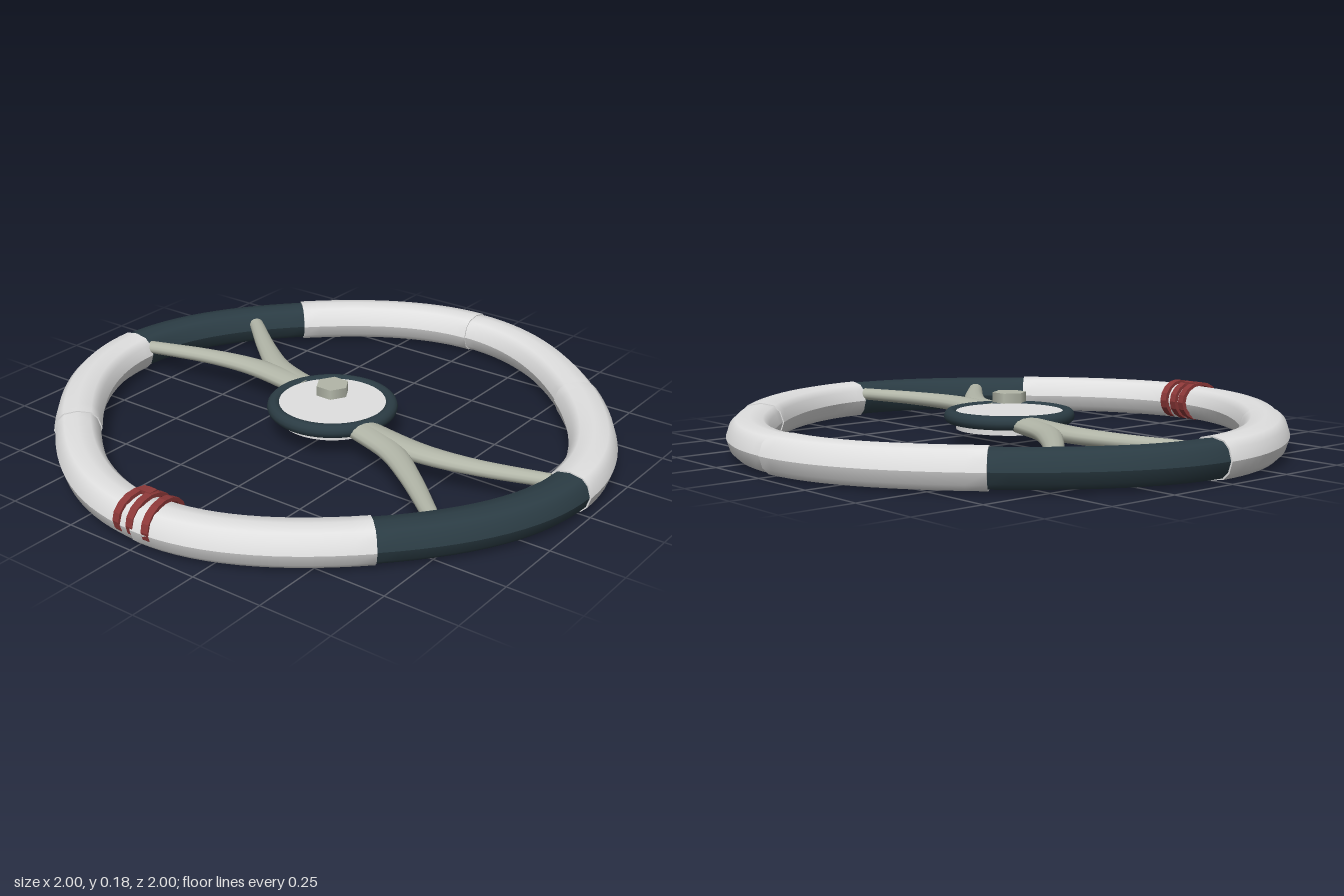
import * as THREE from 'three';

const mat = (name, color) => Object.assign(new THREE.MeshStandardMaterial({ color }), { name });

// Sweep a section made of counter-clockwise arcs along a level curve; arcs meet at hard edges.
function sweep(curve, steps, arcs, size) {
  const pos = [], idx = [];
  const place = (t, [u, v]) => {
    const p = curve.getPoint(t), d = curve.getTangent(t);
    const [w, h] = size(t);
    pos.push(p.x + d.z * u * w, p.y + v * h, p.z - d.x * u * w);
  };
  for (const arc of arcs) {
    const base = pos.length / 3, n = arc.length;
    for (let i = 0; i <= steps; i++) arc.forEach((q) => place(i / steps, q));
    for (let i = 0; i < steps; i++) {
      for (let j = 0; j < n - 1; j++) {
        const a = base + i * n + j, b = a + n;
        idx.push(a, a + 1, b, a + 1, b + 1, b);
      }
    }
  }
  // end caps
  const loop = arcs.flatMap((arc) => arc.slice(0, -1));
  for (const t of [0, 1]) {
    const base = pos.length / 3;
    loop.forEach((q) => place(t, q));
    for (let j = 1; j < loop.length - 1; j++) {
      idx.push(base, base + (t ? j : j + 1), base + (t ? j + 1 : j));
    }
  }
  const g = new THREE.BufferGeometry();
  g.setAttribute('position', new THREE.Float32BufferAttribute(pos, 3));
  g.setIndex(idx);
  g.computeVertexNormals();
  return g;
}

export function createModel() {
  const group = new THREE.Group();
  const white = mat('white', 0xe0e0e0);
  const dark = mat('dark slate', 0x2b3c44);
  const metal = mat('grey metal', 0xb2b6a8);
  const red = mat('dark red', 0x8c3838);
  const add = (name, geo, material, x = 0, y = 0, z = 0) => {
    const m = new THREE.Mesh(geo, material);
    m.name = name;
    m.position.set(x, y, z);
    group.add(m);
    return m;
  };

  // Rim: eight bent segments forming a rounded diamond
  const upper = [[0.078, 0], [0.066, 0.037], [0.045, 0.057], [0, 0.065],
    [-0.045, 0.057], [-0.066, 0.037], [-0.078, 0]];
  const lower = upper.map(([u, v]) => [-u, -v]);
  const rimY = 0.067;
  const polar = (r, deg) => {
    const a = THREE.MathUtils.degToRad(deg);
    return new THREE.Vector3(r * Math.cos(a), rimY, r * Math.sin(a));
  };
  const corner = (k) => polar(k % 2 ? 0.862 : 0.918, k * 45);
  const scales = [0.96, 1.02, 0.98, 1.035, 0.96, 1.035, 0.98, 1.03];
  scales.forEach((s, k) => {
    const bend = polar(0.966, k * 45 + (k % 2 ? 26.9 : 18.1));
    const curve = new THREE.QuadraticBezierCurve3(corner(k), bend, corner(k + 1));
    const isDark = k % 4 === 0;
    add(isDark ? 'darkRimGrip' : 'whiteRimSegment',
      sweep(curve, 14, [upper, lower], () => [s, s]), isDark ? dark : white);
  });

  // Hub: plate, surrounding ring and floating hexagonal nut
  add('hubPlate', new THREE.CylinderGeometry(0.183, 0.183, 0.06, 48), white, 0, 0.086, 0);
  const ring = new THREE.TorusGeometry(0.2, 0.024, 12, 48);
  ring.rotateX(Math.PI / 2);
  add('hubRing', ring, dark, 0, 0.1, 0);
  const nut = new THREE.CylinderGeometry(0.058, 0.058, 0.034, 6);
  nut.rotateY(Math.PI / 6);
  add('hubNut', nut, metal, 0, 0.163, 0);

  // Forked spokes: two tapered branches on each side
  const oval = Array.from({ length: 15 }, (_, i) => {
    const a = -Math.PI / 2 + (i / 14) * Math.PI * 2;
    return [Math.cos(a), Math.sin(a)];
  });
  const branches = [
    [[0.17, 0.075], [0.43, 0.103], [0.62, 0.08], [0.86, 0.013]],
    [[0.17, 0.075], [0.35, 0.15], [0.5, 0.26], [0.69, 0.425]],
  ];
  for (const side of [1, -1]) {
    for (const pts of branches) {
      const curve = new THREE.CatmullRomCurve3(
        pts.map(([x, z]) => new THREE.Vector3(x * side, 0.09, z * side)));
      add('spokeBranch', sweep(curve, 20, [oval],
        (t) => [0.055 - 0.029 * t, 0.03 - 0.008 * t]), metal);
    }
  }

  // Cord wrapped around the front of the rim
  const band = new THREE.Shape().absellipse(0, 0, 0.092, 0.072, 0, Math.PI * 2);
  band.holes.push(new THREE.Path().absellipse(0, 0, 0.076, 0.06, 0, Math.PI * 2, true));
  const bandGeo = new THREE.ExtrudeGeometry(band, { depth: 0.026, bevelEnabled: false, curveSegments: 8 });
  bandGeo.translate(0, 0, -0.013);
  bandGeo.rotateY(Math.PI / 2);
  [[-0.05, -0.08], [-0.003, 0], [0.052, 0.08]].forEach(([x, turn]) => {
    add('cordLoop', bandGeo, red, x, 0.076, 0.905).rotation.y = turn;
  });
  add('cordCrossing', new THREE.BoxGeometry(0.05, 0.014, 0.03), red, -0.027, 0.141, 0.885);

  return group;
}
